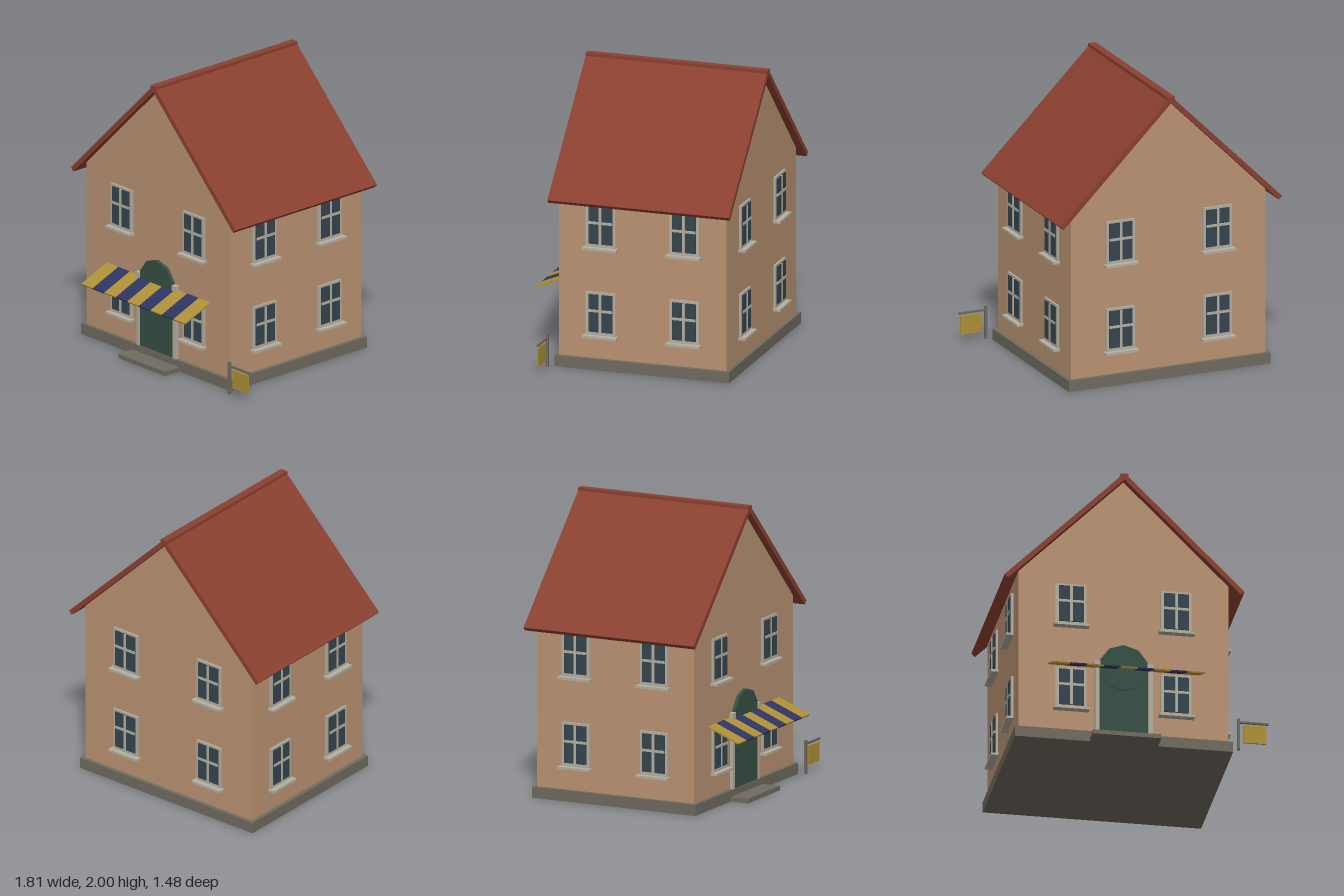
import * as THREE from 'three';

const paint = (name, color) => {
  const m = new THREE.MeshStandardMaterial({ color });
  m.name = name;
  return m;
};

export function createModel() {
  const wall = paint('plaster', 0xbb9373);
  const roofRed = paint('roof red', 0x8b4030);
  const stone = paint('stone', 0x706b60);
  const trim = paint('trim', 0xb4afa1);
  const glass = paint('glass', 0x35454e);
  const green = paint('door green', 0x365044);
  const yellow = paint('yellow', 0xae9038);
  const blue = paint('blue', 0x303463);

  const model = new THREE.Group();
  model.name = 'house';
  const CX = -0.08, CZ = -0.0925;         // middle of the walls
  const HW = 0.72, HD = 0.5975;           // half width and half depth
  const FRONT = CZ + HD;

  const add = (parent, name, geometry, material) => {
    const mesh = new THREE.Mesh(geometry, material);
    mesh.name = name;
    parent.add(mesh);
    return mesh;
  };
  // Box given by its limits on each axis
  const box = (parent, name, material, [x0, x1], [y0, y1], [z0, z1]) => {
    const mesh = add(parent, name, new THREE.BoxGeometry(x1 - x0, y1 - y0, z1 - z0), material);
    mesh.position.set((x0 + x1) / 2, (y0 + y1) / 2, (z0 + z1) / 2);
    return mesh;
  };
  // Outline in x and y, extruded from z0 to z1
  const prism = (name, material, points, z0, z1) => {
    const shape = new THREE.Shape(points.map(([x, y]) => new THREE.Vector2(x, y)));
    const geometry = new THREE.ExtrudeGeometry(shape, { depth: z1 - z0, bevelEnabled: false });
    add(model, name, geometry, material).position.set(CX, 0, z0);
  };

  // Plinth and gabled walls
  box(model, 'plinth', stone, [CX - 0.748, CX + 0.748], [0, 0.077], [-0.715, 0.53]);
  prism('walls', wall, [[-HW, 0.07], [HW, 0.07], [HW, 1.238], [0, 1.957], [-HW, 1.238]], CZ - HD, FRONT);

  // Roof slopes and ridge cap
  for (const s of [-1, 1]) {
    const slope = [[0, 1.957], [s * 0.798, 1.163], [s * 0.822, 1.187], [s * 0.015, 1.99], [0, 1.99]];
    prism(s < 0 ? 'rightRoofSlope' : 'leftRoofSlope', roofRed, slope, -0.74, 0.555);
  }
  box(model, 'ridgeCap', roofRed, [CX - 0.027, CX + 0.027], [1.972, 2], [-0.741, 0.556]);

  // Window on the z = 0 plane facing +z, with the sill underside at y = 0
  const makeWindow = () => {
    const g = new THREE.Group();
    g.name = 'window';
    box(g, 'frame', trim, [-0.106, 0.106], [0.017, 0.32], [-0.005, 0.014]);
    box(g, 'pane', glass, [-0.085, 0.085], [0.04, 0.304], [0, 0.021]);
    box(g, 'upright', trim, [-0.009, 0.009], [0.04, 0.304], [0, 0.026]);
    box(g, 'crossbar', trim, [-0.085, 0.085], [0.181, 0.199], [0, 0.026]);
    box(g, 'sill', trim, [-0.122, 0.122], [0, 0.017], [-0.005, 0.05]);
    return g;
  };
  // Two by two windows on each of the four walls
  for (let side = 0; side < 4; side++) {
    const gable = side % 2 === 0;
    const face = new THREE.Group();
    face.name = ['frontWindows', 'leftWindows', 'backWindows', 'rightWindows'][side];
    face.position.set(CX, 0, CZ);
    face.rotation.y = side * Math.PI / 2;
    for (const u of [-1, 1]) for (const y of [0.225, 0.845]) {
      const w = makeWindow();
      w.position.set(u * (gable ? 0.36 : 0.298), y, gable ? HD : HW);
      face.add(w);
    }
    model.add(face);
  }

  // Door with faceted arch, jambs, capitals and step
  box(model, 'door', green, [CX - 0.17, CX + 0.17], [0.077, 0.565], [FRONT - 0.01, 0.524]);
  const arch = add(model, 'doorArch', new THREE.CylinderGeometry(0.17, 0.17, 0.04, 10), green);
  arch.rotation.x = Math.PI / 2;
  arch.position.set(CX, 0.565, 0.509);
  arch.geometry = arch.geometry.toNonIndexed();
  arch.geometry.computeVertexNormals();
  for (const s of [-1, 1]) {
    const x = CX + s * 0.182;
    box(model, 'doorJamb', trim, [x - 0.015, x + 0.015], [0.077, 0.565], [FRONT - 0.01, 0.53]);
    box(model, 'doorCapital', trim, [x - 0.021, x + 0.021], [0.565, 0.604], [FRONT - 0.01, 0.534]);
  }
  box(model, 'step', stone, [CX - 0.233, CX + 0.233], [0, 0.031], [0.52, 0.66]);

  // Striped awning sloping down from the wall
  const awning = new THREE.Group();
  awning.name = 'awning';
  awning.position.set(CX, 0.521, 0.622);
  awning.rotation.x = Math.atan2(0.095, 0.235);
  const stripe = 1.034 / 9;
  for (let i = 0; i < 9; i++) {
    const x = (i - 4.5) * stripe;
    box(awning, 'awningStripe', i % 2 ? blue : yellow, [x, x + stripe], [-0.005, 0.005], [-0.126, 0.126]);
  }
  model.add(awning);

  // Hanging sign on a post
  box(model, 'signPost', stone, [0.69, 0.707], [0, 0.23], [0.562, 0.58]);
  box(model, 'signArm', stone, [0.69, 0.903], [0.197, 0.211], [0.564, 0.578]);
  box(model, 'signBoard', yellow, [0.733, 0.889], [0.053, 0.184], [0.566, 0.576]);

  return model;
}
